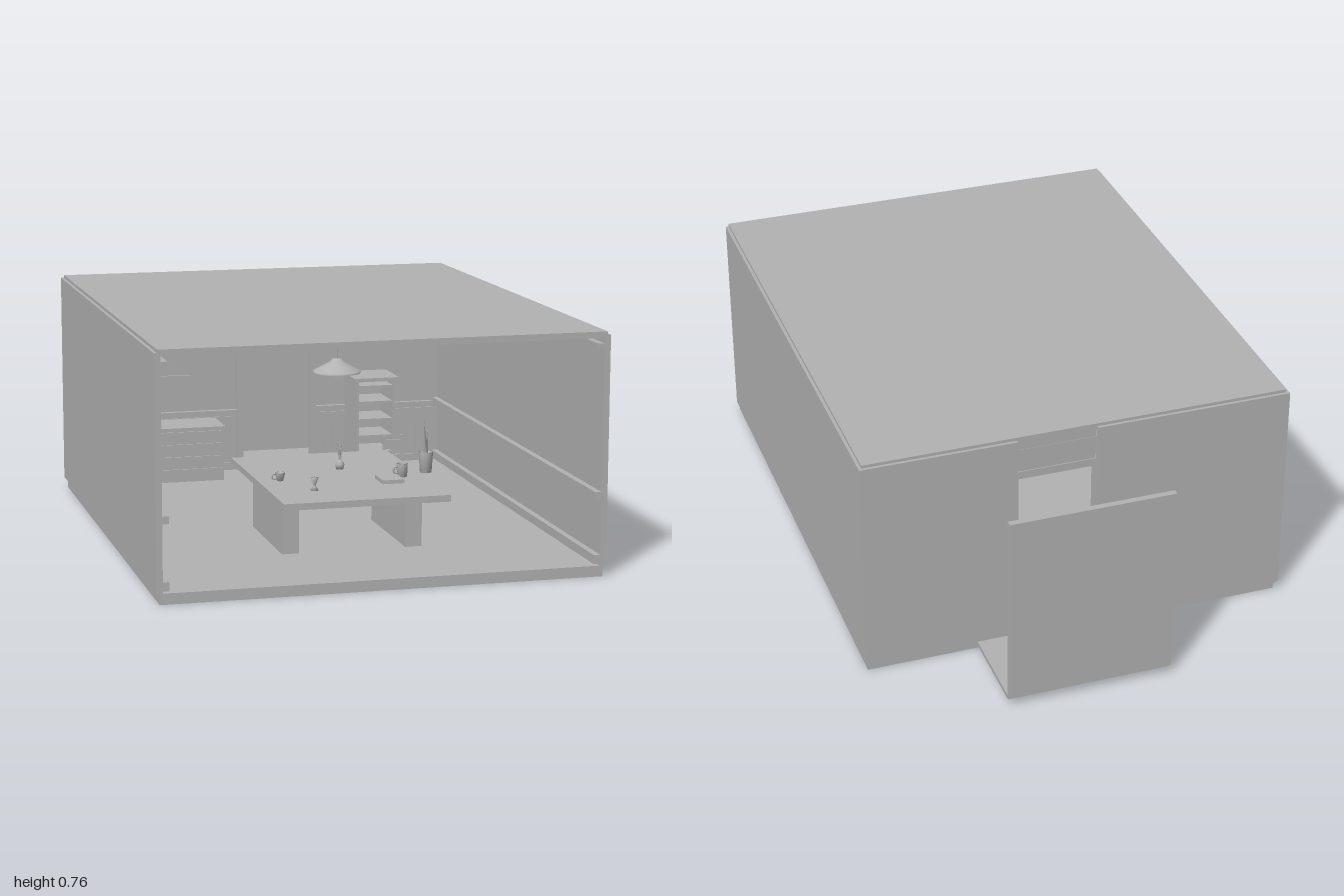
import * as THREE from 'three';

export function createModel() {
  const root = new THREE.Group();
  const grey = new THREE.MeshStandardMaterial({ color: 0xb2b2b2, side: THREE.DoubleSide });
  grey.name = 'plain grey';

  const group = (name) => {
    const g = new THREE.Group();
    g.name = name;
    root.add(g);
    return g;
  };
  const add = (parent, name, geo, x = 0, y = 0, z = 0) => {
    const m = new THREE.Mesh(geo, grey);
    m.name = name;
    m.position.set(x, y, z);
    parent.add(m);
    return m;
  };
  // Box given by its extents along each axis
  const box = (parent, name, x0, x1, y0, y1, z0, z1) =>
    add(parent, name, new THREE.BoxGeometry(x1 - x0, y1 - y0, z1 - z0),
      (x0 + x1) / 2, (y0 + y1) / 2, (z0 + z1) / 2);
  const lathe = (parent, name, pts, x, y, z, n = 24) =>
    add(parent, name, new THREE.LatheGeometry(pts.map(p => new THREE.Vector2(...p)), n), x, y, z);

  // Room shell, open at the front
  const room = group('room');
  box(room, 'floor', -0.69, 0.69, 0, 0.034, -0.675, 1);
  box(room, 'ceiling', -0.69, 0.69, 0.738, 0.758, -0.68, 1);
  for (const s of [-1, 1]) {
    const side = (name, w, y0, y1) =>
      box(room, name, Math.min(s * 0.68, s * (0.68 - w)), Math.max(s * 0.68, s * (0.68 - w)), y0, y1, -0.67, 1);
    box(room, 'sideWall', Math.min(s * 0.68, s * 0.7), Math.max(s * 0.68, s * 0.7), 0.034, 0.748, -0.69, 1);
    side('sideCrown', 0.02, 0.707, 0.722);
    side('sideRail', 0.02, 0.242, 0.265);
    side('sideBaseboard', 0.02, 0.04, 0.068);
  }
  // Back wall on both sides of the doorway, with mouldings and panelling
  for (const [x0, x1] of [[-0.69, -0.06], [0.2, 0.69]]) {
    box(room, 'backWall', x0, x1, 0.03, 0.748, -0.69, -0.673);
    box(room, 'backRail', x0, x1, 0.242, 0.254, -0.673, -0.655);
    box(room, 'backWainscot', x0, x1, 0.034, 0.229, -0.673, -0.668);
    box(room, 'backBaseboard', x0, x1, 0.034, 0.06, -0.668, -0.66);
  }
  for (const x of [-0.625, -0.11, 0.253, 0.283, 0.49, 0.6])
    box(room, 'wainscotStile', x - 0.004, x + 0.004, 0.06, 0.225, -0.668, -0.664);
  box(room, 'backCrown', -0.68, 0.68, 0.695, 0.708, -0.673, -0.655);
  box(room, 'doorHeader', -0.06, 0.2, 0.604, 0.74, -0.672, -0.66);

  // Door frame
  const frame = group('doorFrame');
  box(frame, 'jamb', -0.077, -0.055, 0.034, 0.63, -0.675, -0.65);
  box(frame, 'jamb', 0.193, 0.215, 0.034, 0.63, -0.675, -0.65);
  box(frame, 'lintel', -0.077, 0.215, 0.604, 0.63, -0.675, -0.65);

  // Landing behind the doorway and its screen
  const landing = group('landing');
  box(landing, 'landingFloor', -0.197, 0.333, 0.02, 0.034, -0.985, -0.673);
  box(landing, 'screen', -0.197, 0.333, 0.034, 0.67, -1, -0.98);

  // Desk
  const desk = group('desk');
  box(desk, 'deskTop', -0.265, 0.265, 0.214, 0.235, 0.08, 0.8);
  box(desk, 'apron', -0.235, 0.235, 0.186, 0.214, 0.22, 0.64);
  box(desk, 'modestyPanel', -0.225, 0.225, 0.095, 0.186, 0.23, 0.25);
  for (const s of [-1, 1])
    box(desk, 'deskLeg', s * 0.2 - 0.027, s * 0.2 + 0.027, 0.034, 0.186, 0.23, 0.62);

  // Things on the desk
  const items = group('deskItems');
  const cup = [[0, 0], [0.016, 0], [0.018, 0.042], [0.014, 0.042], [0.013, 0.006], [0, 0.006]];
  lathe(items, 'mug', cup, 0.197, 0.235, 0.5);
  add(items, 'mugHandle', new THREE.TorusGeometry(0.01, 0.003, 6, 16), 0.178, 0.257, 0.5);
  box(items, 'book', 0.105, 0.175, 0.235, 0.247, 0.51, 0.6);
  lathe(items, 'teacup', [[0, 0], [0.01, 0], [0.016, 0.026], [0.013, 0.026], [0, 0.005]], -0.198, 0.238, 0.48);
  add(items, 'teacupHandle', new THREE.TorusGeometry(0.008, 0.0025, 6, 14), -0.216, 0.252, 0.48);
  lathe(items, 'goblet', [[0, 0], [0.013, 0], [0.005, 0.012], [0.005, 0.02], [0.013, 0.04], [0, 0.04]], -0.125, 0.235, 0.63);
  lathe(items, 'vase', [[0, 0], [0.012, 0], [0.015, 0.015], [0.007, 0.03], [0, 0.03]], 0.035, 0.235, 0.34);
  for (let i = 0; i < 5; i++) {
    const stem = add(items, 'stem', new THREE.CylinderGeometry(0.0015, 0.0015, 0.065, 5), 0.035 + (i - 2) * 0.003, 0.29, 0.34);
    stem.rotation.set((i % 2 - 0.5) * 0.25, 0, (2 - i) * 0.08);
  }

  // Hanging lamp
  const lamp = group('lamp');
  add(lamp, 'cord', new THREE.CylinderGeometry(0.002, 0.002, 0.13, 8), 0, 0.673, 0.43);
  lathe(lamp, 'shade', [[0.075, 0.568], [0.075, 0.574], [0.02, 0.604], [0.014, 0.612], [0, 0.612]], 0, 0, 0.43, 32);
  add(lamp, 'bulb', new THREE.SphereGeometry(0.014, 12, 8), 0, 0.585, 0.43);

  // Low drawer cabinet
  const cabinet = group('drawerCabinet');
  box(cabinet, 'cabinetBody', -0.557, -0.16, 0.034, 0.216, -0.66, -0.5);
  box(cabinet, 'cabinetTop', -0.56, -0.157, 0.216, 0.229, -0.66, -0.49);
  for (let i = 0; i < 4; i++)
    box(cabinet, 'drawerFront', -0.55, -0.167, 0.04 + i * 0.0445, 0.08 + i * 0.0445, -0.5, -0.494);

  // Bookcase
  const shelf = group('bookcase');
  box(shelf, 'bookcaseBack', 0.325, 0.468, 0.034, 0.365, -0.66, -0.65);
  box(shelf, 'bookcaseTop', 0.315, 0.48, 0.364, 0.377, -0.66, -0.49);
  for (const x of [0.325, 0.458]) box(shelf, 'bookcaseSide', x, x + 0.01, 0.034, 0.365, -0.66, -0.5);
  for (const y of [0.04, 0.1, 0.16, 0.22, 0.283, 0.34])
    box(shelf, 'shelfBoard', 0.335, 0.458, y, y + 0.008, -0.65, -0.502);

  // Small ladder-back chair
  const chair = group('chair');
  for (const x of [0.335, 0.398]) {
    box(chair, 'chairBackPost', x, x + 0.01, 0.034, 0.228, -0.2, -0.19);
    box(chair, 'chairFrontLeg', x, x + 0.01, 0.034, 0.115, -0.27, -0.26);
  }
  box(chair, 'chairSeat', 0.333, 0.41, 0.115, 0.128, -0.275, -0.19);
  for (const [y0, y1] of [[0.18, 0.212], [0.14, 0.16], [0.07, 0.085]])
    box(chair, 'chairSlat', 0.345, 0.398, y0, y1, -0.198, -0.19);

  // Pinboard with small notes
  const board = group('pinboard');
  box(board, 'boardPanel', -0.472, -0.243, 0.38, 0.512, -0.673, -0.66);
  box(board, 'boardLedge', -0.472, -0.243, 0.38, 0.388, -0.66, -0.65);
  for (let i = 0; i < 16; i++) {
    const x = -0.455 + ((i * 61) % 97) / 97 * 0.19, y = 0.4 + ((i * 37) % 53) / 53 * 0.095;
    const tall = i % 3 === 0;
    box(board, 'note', x, x + (tall ? 0.004 : 0.011), y, y + (tall ? 0.009 : 0.003), -0.66, -0.658);
  }

  // Wall clock
  const clock = group('clock');
  add(clock, 'clockFace', new THREE.CylinderGeometry(0.034, 0.034, 0.012, 32), 0.362, 0.587, -0.667)
    .rotation.x = Math.PI / 2;
  box(clock, 'minuteHand', 0.361, 0.364, 0.587, 0.608, -0.661, -0.659);
  box(clock, 'hourHand', 0.361, 0.378, 0.586, 0.589, -0.661, -0.659);

  // Potted plant with pointed leaves
  const plant = group('plant');
  lathe(plant, 'pot', [[0, 0], [0.021, 0], [0.026, 0.074], [0.022, 0.074], [0.021, 0.062], [0, 0.062]], 0.57, 0.034, -0.45);
  for (let i = 0; i < 7; i++) {
    const h = 0.08 + (i % 3) * 0.025;
    const leaf = new THREE.ConeGeometry(0.008, h, 4);
    leaf.scale(1, 1, 0.35).translate(0, h / 2, 0).rotateX(0.06 + (i % 3) * 0.07).rotateY(i * 2.4);
    add(plant, 'leaf', leaf, 0.57, 0.095, -0.45);
  }
  return root;
}
